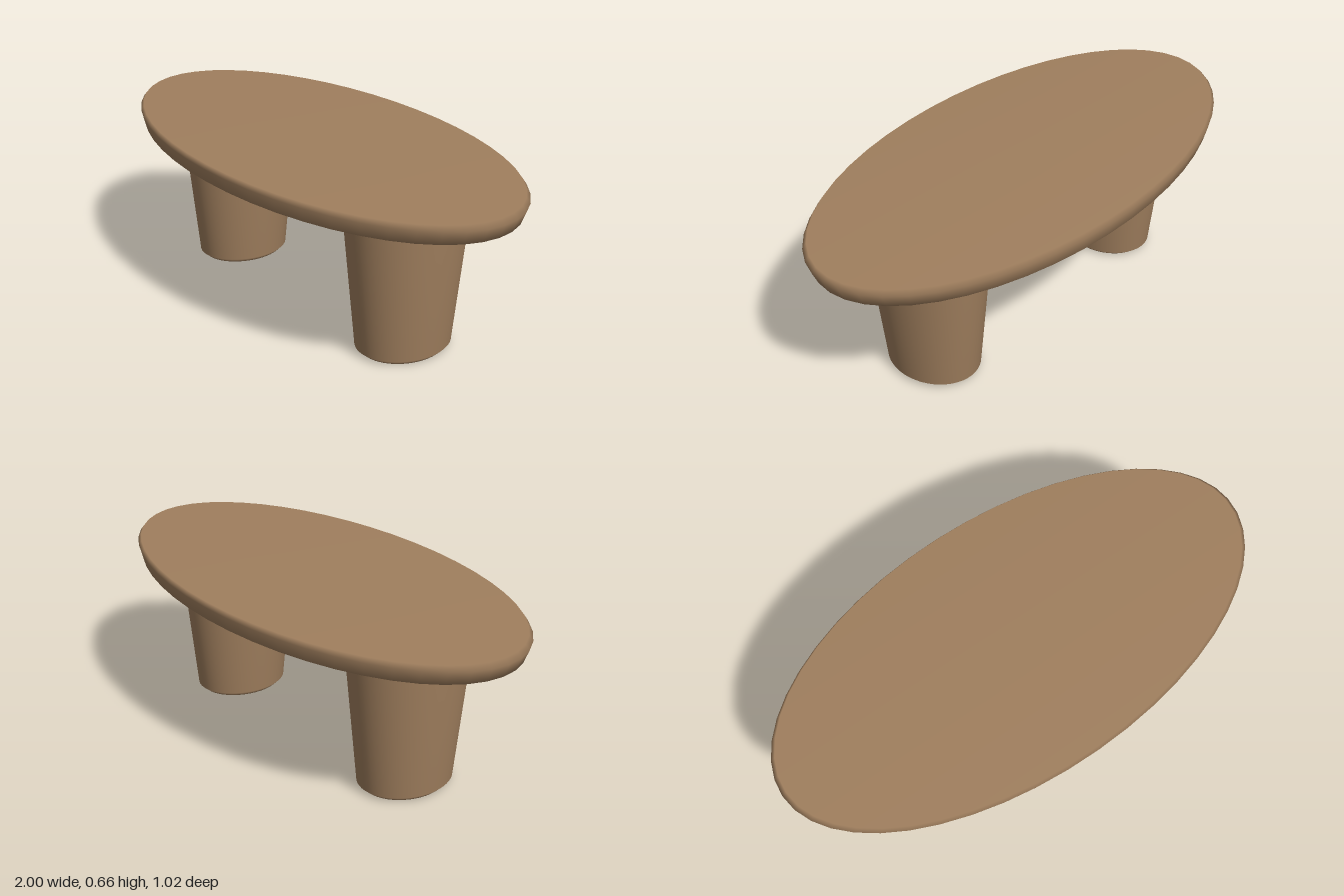
import * as THREE from 'three';

// Solid of revolution from [radius, y] points, stretched along x into an ellipse
function ellipticLathe(name, points, stretchX, material) {
  const profile = points.map(([r, y]) => new THREE.Vector2(r, y));
  const geometry = new THREE.LatheGeometry(profile, 48);
  geometry.scale(stretchX, 1, 1);
  const mesh = new THREE.Mesh(geometry, material);
  mesh.name = name;
  return mesh;
}

export function createModel() {
  const model = new THREE.Group();
  model.name = 'ovalTable';
  const wood = new THREE.MeshStandardMaterial({ color: 0xa07f5e });
  wood.name = 'brown wood';

  // Oval top with a bevelled underside and a slightly flared edge
  model.add(ellipticLathe('tableTop', [
    [0, 0.583], [0.475, 0.583], [0.497, 0.593], [0.508, 0.645], [0.499, 0.663], [0, 0.663],
  ], 1.969, wood));

  // Two tapered oval pedestals, wider at the top
  for (const [side, name] of [[1, 'leftLeg'], [-1, 'rightLeg']]) {
    const leg = ellipticLathe(name, [
      [0, 0], [0.17, 0], [0.191, 0.018], [0.245, 0.562], [0.239, 0.585], [0, 0.585],
    ], 0.83, wood);
    leg.position.x = side * 0.526;
    model.add(leg);
  }
  return model;
}
